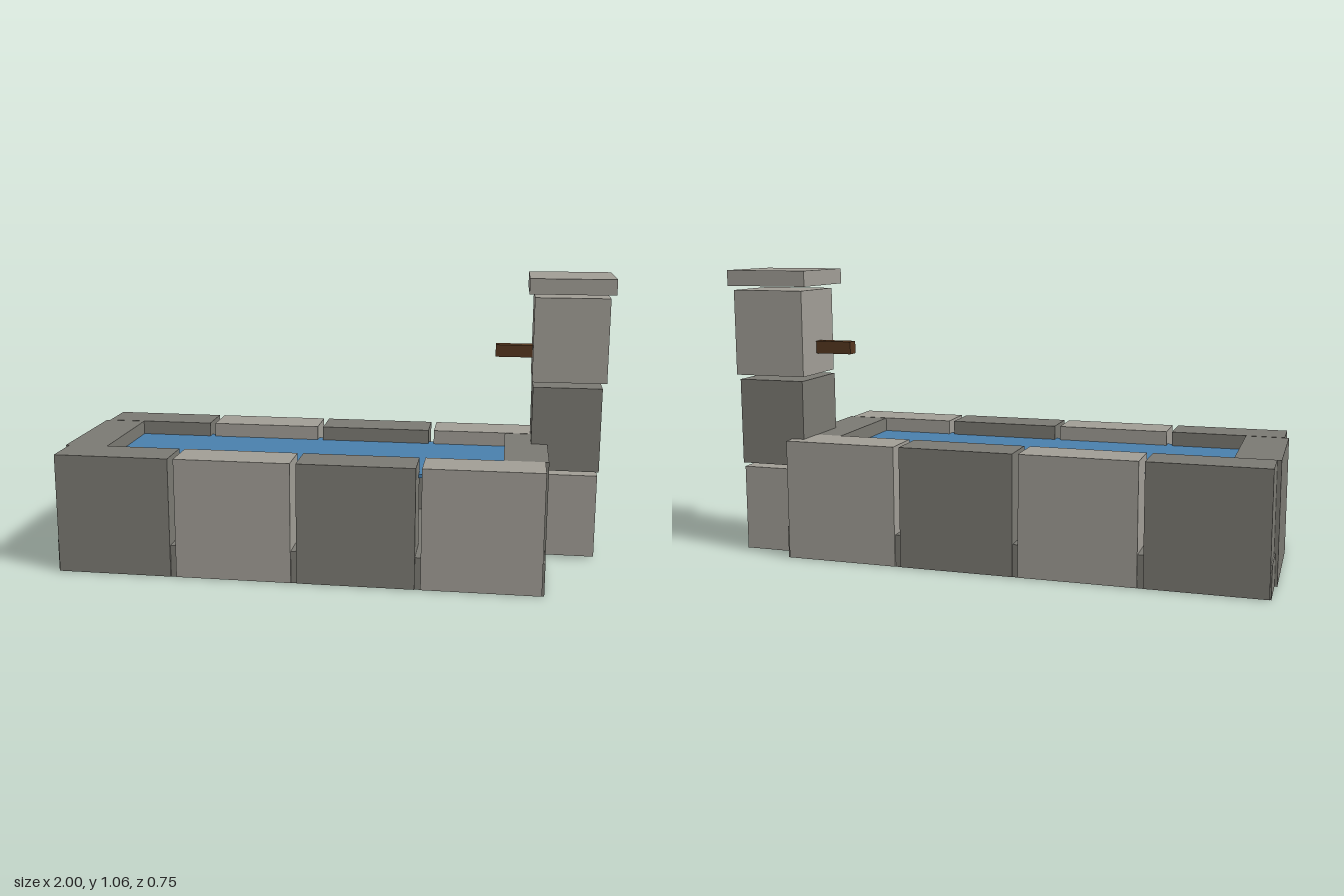
import * as THREE from 'three';

const material = (name, color) => {
  const m = new THREE.MeshStandardMaterial({ color });
  m.name = name;
  return m;
};

export function createModel() {
  const lightStone = material('light stone', 0xa19e96);
  const darkStone = material('dark stone', 0x7b7a73);
  const water = material('water', 0x4a80ad);
  const wood = material('dark wood', 0x55371f);

  const model = new THREE.Group();
  model.name = 'stoneTrough';

  // Box given by its [min, max] range on each axis
  const block = (parent, name, mat, [x0, x1], [y0, y1], [z0, z1]) => {
    const mesh = new THREE.Mesh(new THREE.BoxGeometry(x1 - x0, y1 - y0, z1 - z0), mat);
    mesh.position.set((x0 + x1) / 2, (y0 + y1) / 2, (z0 + z1) / 2);
    mesh.name = name;
    parent.add(mesh);
  };

  // Basin: floor slab, two long walls of four blocks, two end walls
  const basin = new THREE.Group();
  basin.name = 'basin';
  model.add(basin);
  block(basin, 'floorSlab', darkStone, [-0.99, 0.77], [0, 0.118], [-0.365, 0.365]);
  for (const side of [1, -1]) {
    for (let i = 0; i < 4; i++) {
      const x = -0.985 + i * 0.442;
      const z = side > 0 ? [0.217, 0.373] : [-0.373, -0.217];
      block(basin, side > 0 ? 'frontWallBlock' : 'backWallBlock',
        i % 2 ? lightStone : darkStone, [x, x + 0.421], [0.002, 0.442], z);
    }
  }
  block(basin, 'rightEndWall', darkStone, [-1, -0.842], [0.002, 0.441], [-0.22, 0.22]);
  block(basin, 'leftEndWall', darkStone, [0.617, 0.775], [0.002, 0.441], [-0.22, 0.22]);
  block(basin, 'waterSurface', water, [-0.88, 0.66], [0.376, 0.389], [-0.254, 0.254]);

  // Pillar: three slightly offset stones under a cap
  const pillar = new THREE.Group();
  pillar.name = 'pillar';
  model.add(pillar);
  block(pillar, 'lowerStone', lightStone, [0.7, 0.963], [0.01, 0.326], [-0.322, -0.053]);
  block(pillar, 'middleStone', darkStone, [0.715, 0.968], [0.341, 0.657], [-0.325, -0.053]);
  block(pillar, 'upperStone', lightStone, [0.711, 0.984], [0.673, 0.987], [-0.322, -0.069]);
  block(pillar, 'capStone', lightStone, [0.69, 1], [1.003, 1.06], [-0.338, -0.029]);

  // Wooden spout over the water
  block(model, 'spout', wood, [0.573, 0.76], [0.75, 0.796], [-0.211, -0.166]);

  return model;
}
